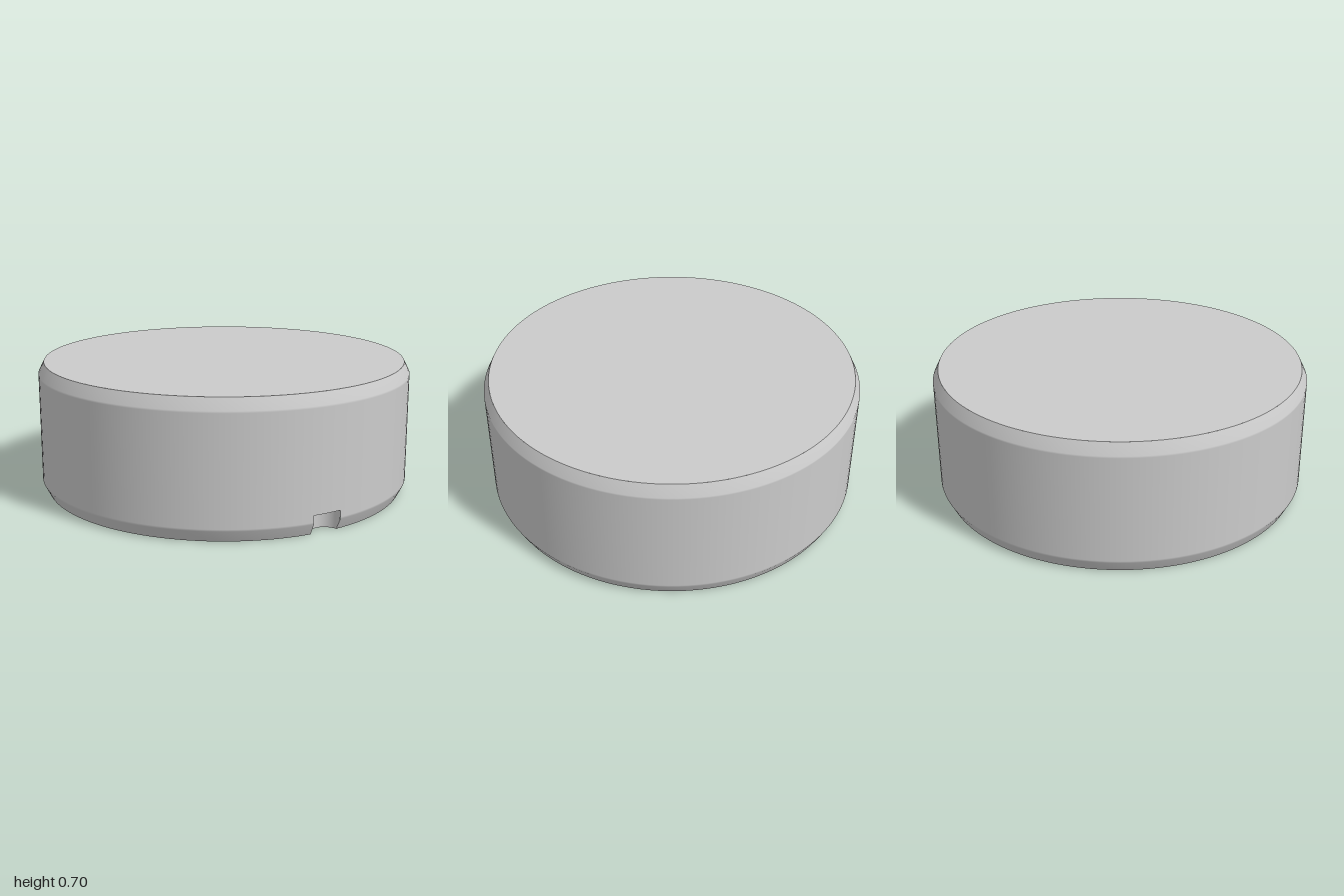
import * as THREE from 'three';

const RIM = 0.97, HEIGHT = 0.7, DEPTH = 0.5, NOTCH_H = 0.105;
const LOBE_R = 0.244, LOBE_D = 0.457, BORE_R = 0.54;
const rad = THREE.MathUtils.degToRad;

export function createModel() {
  const model = new THREE.Group();
  const gray = new THREE.MeshStandardMaterial({ color: 0xcbcbcb });
  gray.name = 'plain gray';

  const add = (name, geometry) => {
    const mesh = new THREE.Mesh(geometry, gray);
    mesh.name = name;
    model.add(mesh);
    return mesh;
  };

  // Flat face in the x-z plane that looks down
  const downFace = (shape, y) =>
    new THREE.ShapeGeometry(shape, 28).rotateX(Math.PI / 2).translate(0, y, 0);

  // Upright curved wall that faces the arc's centre
  const arcWall = (cx, cz, r, a0, a1, h) => {
    const g = new THREE.PlaneGeometry(1, 1, 32, 4);
    const p = g.attributes.position;
    for (let i = 0; i < p.count; i++) {
      const a = a0 + (a1 - a0) * (p.getX(i) + 0.5);
      p.setXYZ(i, cx + r * Math.cos(a), h * (p.getY(i) + 0.5), cz + r * Math.sin(a));
    }
    g.computeVertexNormals();
    return g;
  };

  const circle = (Type, x, z, r) => new Type().absarc(x, z, r, 0, Math.PI * 2);

  // Outer wall with chamfers, left open at the notch; a strip closes it above
  const notchA = rad(65.1), gap = 0.0775, notchR = 0.078;
  const nx = 0.985 * Math.cos(notchA), nz = 0.985 * Math.sin(notchA);
  const turn = (pts, segments, start, length) => new THREE.LatheGeometry(
    pts.map(([x, y]) => new THREE.Vector2(x, y)), segments, start, length);
  const upper = [[1, NOTCH_H], [1, 0.63], [1, 0.64], [RIM, HEIGHT]];
  const phi = Math.PI / 2 - notchA;
  add('outerWall', turn([[RIM, 0], [1, 0.06], [1, 0.07], ...upper], 128,
    phi + gap, Math.PI * 2 - 2 * gap));
  add('wallAboveNotch', turn(upper, 4, phi - gap, 2 * gap));
  add('topFace', new THREE.CircleGeometry(RIM, 128)
    .rotateX(-Math.PI / 2).translate(0, HEIGHT, 0));

  // Edge notch: curved wall trimmed to the chamfer, and its ceiling
  const n0 = notchA + 1.42, n1 = notchA + Math.PI * 2 - 1.42;
  const notchWall = arcWall(nx, nz, notchR, n0, n1, NOTCH_H);
  const p = notchWall.attributes.position;
  for (let i = 0; i < p.count; i++) {
    const r = Math.hypot(p.getX(i), p.getZ(i));
    const s = Math.min(1, Math.min(1, RIM + p.getY(i) / 2) / r);
    p.setX(i, p.getX(i) * s);
    p.setZ(i, p.getZ(i) * s);
  }
  add('notchWall', notchWall);
  add('notchCeiling', downFace(new THREE.Shape().absarc(nx, nz, notchR, n0, n1), NOTCH_H));

  // Four-lobed cavity outline with its walls
  const borePart = Math.acos(
    (BORE_R ** 2 + LOBE_D ** 2 - LOBE_R ** 2) / (2 * BORE_R * LOBE_D));
  const lobePart = Math.atan2(
    BORE_R * Math.sin(borePart), BORE_R * Math.cos(borePart) - LOBE_D);
  const cavity = new THREE.Shape();
  for (let k = 0; k < 4; k++) {
    const a = rad(22.5 + 90 * k);
    const x = LOBE_D * Math.cos(a), z = LOBE_D * Math.sin(a);
    const b0 = a + borePart, b1 = a + Math.PI / 2 - borePart;
    cavity.absarc(x, z, LOBE_R, a - lobePart, a + lobePart);
    cavity.absarc(0, 0, BORE_R, b0, b1);
    add('cavityLobeWall', arcWall(x, z, LOBE_R, a - lobePart, a + lobePart, DEPTH));
    add('cavityBoreWall', arcWall(0, 0, BORE_R, b0, b1, DEPTH));
  }
  add('cavityCeiling', downFace(cavity, DEPTH));

  // Bottom face with the notch bite, cavity and ring of holes
  const base = new THREE.Shape();
  base.absarc(0, 0, RIM, notchA + gap, notchA - gap + Math.PI * 2);
  base.absarc(nx, nz, notchR, notchA - 1.8, notchA + 1.8, true);
  base.holes.push(new THREE.Path(cavity.getPoints(28)));
  for (let k = 0; k < 8; k++) {
    const a = rad(45 * k);
    const x = 0.795 * Math.cos(a), z = 0.795 * Math.sin(a);
    const r = k === 4 ? 0.124 : 0.104;
    base.holes.push(circle(THREE.Path, x, z, r));
    add('holeWall', arcWall(x, z, r, 0, Math.PI * 2, DEPTH));
    add('holeCeiling', downFace(circle(THREE.Shape, x, z, r), DEPTH));
  }
  add('bottomFace', downFace(base, 0));

  // Off-centre post and the post that merges with the cavity wall
  for (const [name, x, z] of [['centrePost', 0.1, 0.085], ['wallPost', -0.135, -0.51]]) {
    add(name, new THREE.CylinderGeometry(0.21, 0.21, DEPTH, 64))
      .position.set(x, DEPTH / 2, z);
  }

  return model;
}
